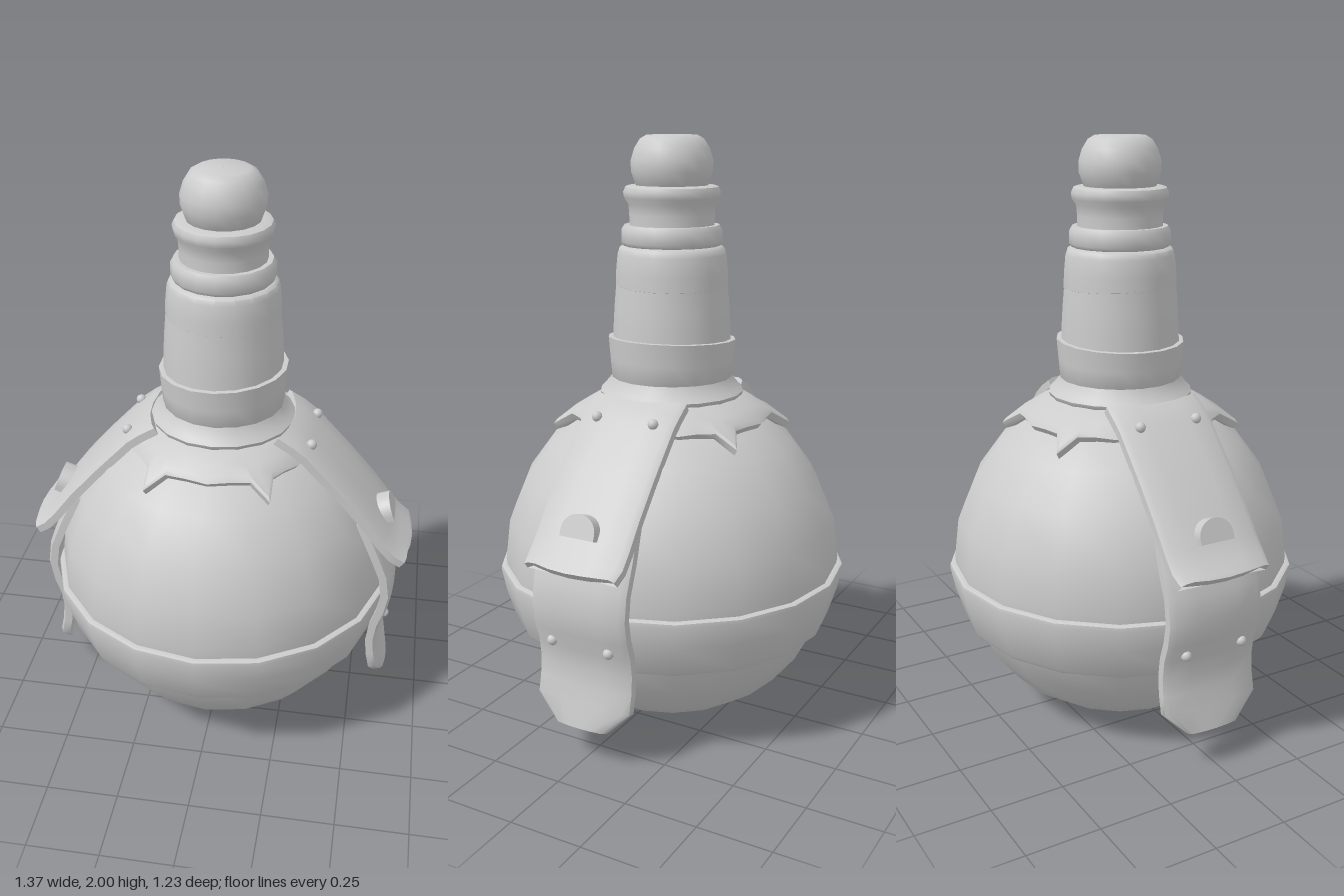
import * as THREE from 'three';
import { toCreasedNormals } from 'three/addons/utils/BufferGeometryUtils.js';

const SIDES = 18;
const material = new THREE.MeshStandardMaterial({ color: 0xcccccc });

function part(name, geometry, crease = 0.75) {
  const mesh = new THREE.Mesh(crease ? toCreasedNormals(geometry, crease) : geometry, material);
  mesh.name = name;
  return mesh;
}

// Turned part; tiltX and tiltZ slope its rings for a hand-wrapped look
function turned(name, profile, tiltX = [0, 0], tiltZ = [0, 0]) {
  const geometry = new THREE.LatheGeometry(profile.map(p => new THREE.Vector2(...p)), SIDES);
  const pos = geometry.attributes.position;
  const y0 = profile[0][1], y1 = Math.max(...profile.map(p => p[1]));
  for (let i = 0; i < pos.count; i++) {
    const y = pos.getY(i), t = (y - y0) / (y1 - y0);
    const sx = THREE.MathUtils.lerp(tiltX[0], tiltX[1], t);
    const sz = THREE.MathUtils.lerp(tiltZ[0], tiltZ[1], t);
    pos.setY(i, y + sx * pos.getX(i) + sz * pos.getZ(i));
  }
  return turnedMesh(name, geometry);
}
const turnedMesh = (name, geometry) => part(name, geometry);

// Skin over equal rings of points, either closed into a loop or capped at both ends
function loft(rings, loop) {
  const n = rings[0].length, m = rings.length, pts = rings.flat(), idx = [];
  for (let i = 0; i < (loop ? m : m - 1); i++) {
    for (let j = 0; j < n; j++) {
      const a = i * n + j, b = i * n + (j + 1) % n;
      const c = ((i + 1) % m) * n + j, d = ((i + 1) % m) * n + (j + 1) % n;
      idx.push(a, b, d, a, d, c);
    }
  }
  if (!loop) {
    // Caps are strips, since each ring runs out along one face and back along the other
    const last = (m - 1) * n;
    for (let j = 0; j < n / 2 - 1; j++) {
      const a = j, b = j + 1, c = n - 2 - j, d = n - 1 - j;
      idx.push(a, c, b, a, d, c);
      idx.push(last + a, last + b, last + c, last + a, last + c, last + d);
    }
  }
  // Make the faces point outward
  let volume = 0;
  for (let i = 0; i < idx.length; i += 3) {
    volume += pts[idx[i]].dot(pts[idx[i + 1]].clone().cross(pts[idx[i + 2]]));
  }
  if (volume < 0) idx.reverse();
  const geometry = new THREE.BufferGeometry().setFromPoints(pts);
  geometry.setIndex(idx);
  return geometry;
}

// Leather strap: stations give outer x, y, half width and pull-back of the corners
function strap(name, stations, thickness) {
  const across = [-1, -0.88, -0.45, 0, 0.45, 0.88, 1];
  const rings = stations.map(([x, y, w, pull = 0], i) => {
    const p = stations[Math.max(i - 1, 0)], q = stations[Math.min(i + 1, stations.length - 1)];
    const t = new THREE.Vector2(q[0] - p[0], q[1] - p[1]).normalize();
    const nx = -t.y, ny = t.x;
    const point = (a, depth) => {
      const drop = depth + 0.012 * a * a, slide = pull * a * a;
      return new THREE.Vector3(x - nx * drop + t.x * slide, y - ny * drop + t.y * slide, a * w);
    };
    const outer = across.map(a => point(a, Math.abs(a) === 1 ? 0.008 : 0));
    const inner = across.map(a => point(a, thickness)).reverse();
    return [...outer, ...inner];
  });
  return part(name, loft(rings, false), 0.8);
}

// Spiked collar draped over the shoulder
function collar() {
  // Angle from the front, outer radius, edge height
  const quarter = [[0, 0.345, 1.055], [13, 0.34, 1.06], [24, 0.35, 1.06], [30.5, 0.415, 1.015],
    [37, 0.35, 1.06], [47, 0.335, 1.06], [57, 0.335, 1.055], [73, 0.33, 1.055]];
  const half = [...quarter, [90, 0.33, 1.055],
    ...quarter.slice(1).reverse().map(([a, r, y]) => [180 - a, r, y])];
  const full = [...half, ...half.map(([a, r, y]) => [a + 180, r, y])];
  const rings = full.map(([deg, r, y]) => {
    const a = THREE.MathUtils.degToRad(deg);
    const section = [[0.2, 1.14], [0.25, 1.125], [0.3, 1.095], [r - 0.012, y + 0.016], [r, y],
      [r - 0.015, y - 0.02], [0.28, 1.04], [0.2, 1.07]];
    return section.map(([sr, sy]) => new THREE.Vector3(sr * Math.sin(a), sy, sr * Math.cos(a)));
  });
  return part('spikedCollar', loft(rings, true), 0.8);
}

// One side's hanging straps with rivets and catch, built on +x
function sideStraps() {
  const group = new THREE.Group();
  group.add(strap('lowerStrap', [
    [0.53, 0.84, 0.165], [0.585, 0.72, 0.175], [0.625, 0.62, 0.175], [0.638, 0.53, 0.175],
    [0.625, 0.45, 0.175], [0.605, 0.39, 0.175], [0.597, 0.33, 0.175], [0.602, 0.27, 0.175],
    [0.615, 0.21, 0.175], [0.632, 0.13, 0.095]], 0.035));
  group.add(strap('upperStrap', [
    [0.25, 1.145, 0.172, -0.035], [0.275, 1.13, 0.175], [0.32, 1.095, 0.175], [0.45, 0.955, 0.175],
    [0.54, 0.85, 0.175], [0.60, 0.77, 0.175], [0.64, 0.725, 0.175],
    [0.675, 0.70, 0.168], [0.685, 0.69, 0.15, -0.02]], 0.035));
  for (const z of [-0.107, 0.107]) {
    for (const [x, y, name] of [[0.318, 1.095, 'upperRivet'], [0.608, 0.41, 'lowerRivet']]) {
      const rivet = part(name, new THREE.SphereGeometry(0.018, 10, 8), 0);
      rivet.position.set(x, y, z);
      group.add(rivet);
    }
  }
  // Half-round catch standing off the strap
  const shape = new THREE.Shape();
  shape.moveTo(-0.063, 0);
  shape.lineTo(0.063, 0);
  shape.lineTo(0.063, 0.02);
  shape.absellipse(0, 0.02, 0.063, 0.058, 0, Math.PI, false);
  const geometry = new THREE.ExtrudeGeometry(shape, { depth: 0.05, bevelEnabled: false, curveSegments: 10 });
  geometry.rotateY(Math.PI / 2);
  geometry.rotateZ(0.35);
  const catchMesh = part('strapCatch', geometry, 0.6);
  catchMesh.position.set(0.57, 0.765, 0);
  group.add(catchMesh);
  return group;
}

export function createModel() {
  const model = new THREE.Group();
  model.name = 'strappedFlask';

  // Round body and belly band
  model.add(turned('body', [[0.001, 0], [0.2, 0], [0.31, 0.05], [0.41, 0.12], [0.49, 0.22], [0.548, 0.33],
    [0.585, 0.44], [0.595, 0.55], [0.578, 0.69], [0.515, 0.84], [0.42, 0.97], [0.31, 1.055], [0.18, 1.11]]));
  model.add(turned('bellyBand', [[0.53, 0.32], [0.558, 0.32], [0.568, 0.333], [0.598, 0.43], [0.614, 0.51],
    [0.612, 0.522], [0.602, 0.526], [0.58, 0.525]]));
  model.add(collar());

  // Neck with its flared foot and overlapping wraps
  model.add(turned('neckFoot', [[0.2, 1.09], [0.245, 1.125], [0.25, 1.14], [0.235, 1.155],
    [0.21, 1.185], [0.2, 1.22]]));
  model.add(turned('lowerWrap', [[0.19, 1.16], [0.208, 1.18], [0.214, 1.25], [0.22, 1.322], [0.19, 1.324]],
    [0, 0.05]));
  model.add(turned('middleWrap', [[0.205, 1.28], [0.203, 1.36], [0.198, 1.44], [0.192, 1.508], [0.165, 1.51]],
    [0, -0.03], [0, 0.03]));
  model.add(turned('upperWrap', [[0.17, 1.49], [0.193, 1.505], [0.192, 1.55], [0.186, 1.61], [0.18, 1.628],
    [0.165, 1.637], [0.13, 1.637]], [-0.03, 0], [0.03, 0]));
  model.add(turned('neckRing', [[0.14, 1.63], [0.165, 1.637], [0.173, 1.65], [0.172, 1.69], [0.162, 1.705],
    [0.13, 1.705]]));
  model.add(turned('neckLip', [[0.145, 1.69], [0.145, 1.74], [0.148, 1.775], [0.162, 1.795], [0.165, 1.815],
    [0.158, 1.83], [0.145, 1.835], [0.09, 1.835]]));
  model.add(turned('stopper', [[0.1, 1.81], [0.122, 1.835], [0.138, 1.88], [0.139, 1.915], [0.127, 1.955],
    [0.108, 1.985], [0.085, 1.998], [0.001, 2]]));

  // Matching straps on both sides
  for (const [name, turn] of [['leftStraps', 0], ['rightStraps', Math.PI]]) {
    const side = sideStraps();
    side.name = name;
    side.rotation.y = turn;
    model.add(side);
  }
  return model;
}
